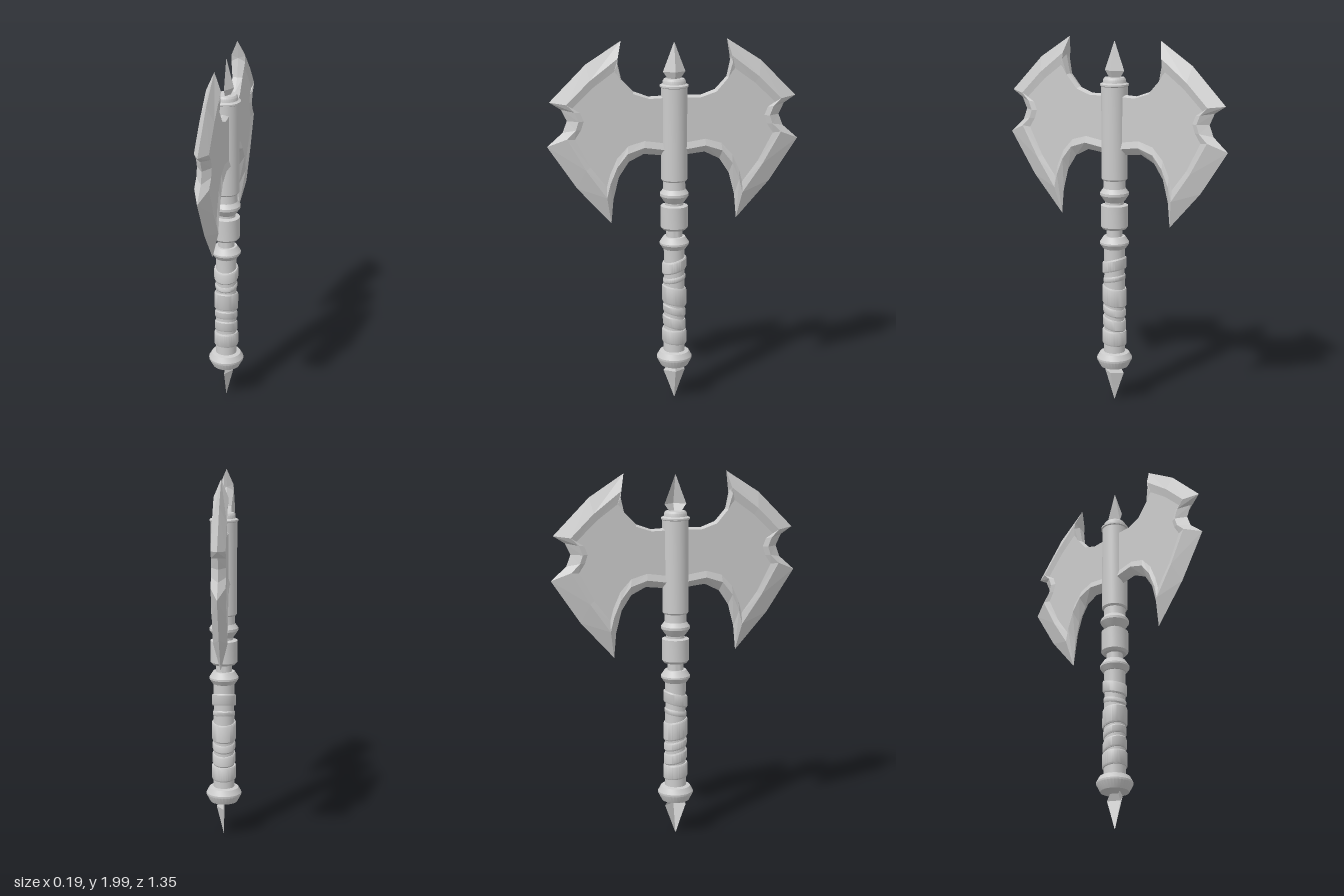
import * as THREE from 'three';
import { toCreasedNormals } from 'three/addons/utils/BufferGeometryUtils.js';

const smooth = new THREE.MeshStandardMaterial({ color: 0xcccccc });
const faceted = new THREE.MeshStandardMaterial({ color: 0xcccccc, flatShading: true });
const open = new THREE.MeshStandardMaterial({ color: 0xcccccc, flatShading: true, side: THREE.DoubleSide });

const RIDGE = 0.037, PANEL = 0.027;

// Blade section, counterclockwise: [edge z,y, ridge z,y, panel z,y]
const BLADE = [
  // upper cutting edge
  [0.28, 2.0, 0.302, 1.913, 0.32, 1.845],
  [0.465, 1.882, 0.45, 1.80, 0.43, 1.765],
  [0.657, 1.69, 0.572, 1.68, 0.54, 1.66],
  // notch
  [0.595, 1.65, 0.53, 1.64, 0.50, 1.635],
  [0.567, 1.59, 0.51, 1.59, 0.482, 1.59],
  [0.59, 1.53, 0.525, 1.545, 0.497, 1.545],
  // lower cutting edge
  [0.673, 1.457, 0.572, 1.50, 0.53, 1.495],
  [0.52, 1.228, 0.475, 1.33, 0.45, 1.345],
  [0.34, 1.028, 0.366, 1.176, 0.366, 1.235],
  // lower concave edge
  [0.328, 1.16, 0.348, 1.25, 0.348, 1.30],
  [0.297, 1.28, 0.31, 1.34, 0.31, 1.385],
  [0.244, 1.36, 0.254, 1.41, 0.25, 1.45],
  [0.164, 1.40, 0.164, 1.44, 0.164, 1.475],
  [0.03, 1.385, 0.03, 1.42, 0.03, 1.455],
  // upper concave edge
  [0.03, 1.71, 0.03, 1.70, 0.03, 1.69],
  [0.138, 1.706, 0.138, 1.697, 0.138, 1.69],
  [0.217, 1.735, 0.222, 1.725, 0.225, 1.718],
  [0.28, 1.80, 0.285, 1.797, 0.287, 1.795],
  [0.302, 1.90, 0.306, 1.88, 0.306, 1.83],
];

function bladeGeometry() {
  const n = BLADE.length, pos = [], index = [];
  const flat = BLADE.map((r) => new THREE.Vector2(-r[4], r[5]));
  const caps = THREE.ShapeUtils.triangulateShape(flat, []);
  for (const side of [1, -1]) {
    const base = pos.length / 3;
    const tri = (a, b, c) => (side > 0
      ? index.push(base + a, base + b, base + c)
      : index.push(base + a, base + c, base + b));
    BLADE.forEach((r, i) => {
      const ridge = i >= 14 && i <= 17 ? PANEL : RIDGE;
      pos.push(0, r[1], r[0], side * ridge, r[3], r[2], side * PANEL, r[5], r[4]);
    });
    // outer bevel and inner step
    for (let i = 0; i < n; i++) {
      const j = (i + 1) % n;
      for (let k = 0; k < 2; k++) {
        const a = i * 3 + k, b = j * 3 + k;
        tri(a, b, b + 1);
        tri(a, b + 1, a + 1);
      }
    }
    // sunken flat panel
    for (const [a, b, c] of caps) {
      const ab = flat[b].clone().sub(flat[a]), ac = flat[c].clone().sub(flat[a]);
      if (ab.cross(ac) > 0) tri(a * 3 + 2, b * 3 + 2, c * 3 + 2);
      else tri(a * 3 + 2, c * 3 + 2, b * 3 + 2);
    }
  }
  const g = new THREE.BufferGeometry();
  g.setAttribute('position', new THREE.Float32BufferAttribute(pos, 3));
  g.setIndex(index);
  const out = g.toNonIndexed();
  out.computeVertexNormals();
  return out;
}

// Half-diamond spike facing +x, from [half width, y] rings listed bottom to top
function spikeGeometry(rings) {
  const pos = [], index = [];
  for (const [w, y] of rings) pos.push(0, y, w, w * 0.67, y, 0, 0, y, -w);
  for (let i = 0; i < rings.length - 1; i++) {
    for (let k = 0; k < 2; k++) {
      const a = i * 3 + k;
      index.push(a, a + 1, a + 4, a, a + 4, a + 3);
    }
  }
  const g = new THREE.BufferGeometry();
  g.setAttribute('position', new THREE.Float32BufferAttribute(pos, 3));
  g.setIndex(index);
  const out = g.toNonIndexed();
  out.computeVertexNormals();
  return out;
}

function lathe(points) {
  const g = new THREE.LatheGeometry(points.map(([r, y]) => new THREE.Vector2(r, y)), 32);
  return toCreasedNormals(g, 0.5);
}

// Grip wrap: a short drum with softened rims, sheared so it slants along z
function wrapGeometry(y, h, r, slope) {
  const g = lathe([[0.05, -h / 2], [r - 0.004, -h / 2], [r, -h / 2 + 0.008],
    [r, h / 2 - 0.008], [r - 0.004, h / 2], [0.05, h / 2]]);
  const p = g.attributes.position;
  for (let i = 0; i < p.count; i++) p.setY(i, p.getY(i) + y + slope * p.getZ(i));
  g.computeVertexNormals();
  return toCreasedNormals(g, 0.5);
}

export function createModel() {
  const model = new THREE.Group();
  model.name = 'doubleAxe';
  const add = (name, geometry, material) => {
    const mesh = new THREE.Mesh(geometry, material);
    mesh.name = name;
    model.add(mesh);
    return mesh;
  };

  // shaft pieces, profiles from bottom to top
  add('pommelRing', lathe([[0, 0.205], [0.075, 0.205], [0.096, 0.245], [0.096, 0.256],
    [0.08, 0.285], [0.058, 0.29]]), smooth);
  add('grip', lathe([[0.058, 0.285], [0.058, 0.34], [0.055, 0.45], [0.058, 0.62],
    [0.055, 0.76], [0.057, 0.88]]), smooth);
  add('gripRing', lathe([[0.055, 0.872], [0.062, 0.875], [0.079, 0.9], [0.079, 0.91],
    [0.058, 0.942], [0.044, 0.942], [0.044, 0.985]]), smooth);
  add('collar', lathe([[0.04, 0.98], [0.062, 0.982], [0.073, 0.995], [0.073, 1.112],
    [0.05, 1.118], [0.05, 1.135]]), smooth);
  add('neckRing', lathe([[0.05, 1.13], [0.058, 1.14], [0.077, 1.168], [0.077, 1.182],
    [0.06, 1.205], [0.058, 1.255]]), smooth);
  add('head', lathe([[0.05, 1.25], [0.064, 1.25], [0.07, 1.258], [0.07, 1.75],
    [0.076, 1.754], [0.076, 1.763], [0.062, 1.77], [0.06, 1.787], [0.053, 1.797],
    [0, 1.797]]), smooth);

  // slanted wraps: [y, height, radius, slope]
  [[0.78, 0.065, 0.066, -0.28], [0.705, 0.03, 0.061, -0.2], [0.61, 0.1, 0.066, 0.2],
    [0.525, 0.045, 0.062, 0.26], [0.455, 0.06, 0.063, 0.26], [0.375, 0.08, 0.067, 0.1]]
    .forEach(([y, h, r, s], i) => add('gripWrap' + (i + 1), wrapGeometry(y, h, r, s), smooth));

  // twin blades
  const blade = bladeGeometry();
  add('frontBlade', blade, faceted);
  add('backBlade', blade, faceted).rotation.y = Math.PI;

  // spikes at both ends
  add('topSpike', spikeGeometry([[0.03, 1.79], [0.06, 1.833], [0.032, 1.905], [0.002, 1.985]]), open);
  add('bottomSpike', spikeGeometry([[0.002, 0.01], [0.032, 0.095], [0.06, 0.17], [0.035, 0.207]]), open);

  return model;
}
